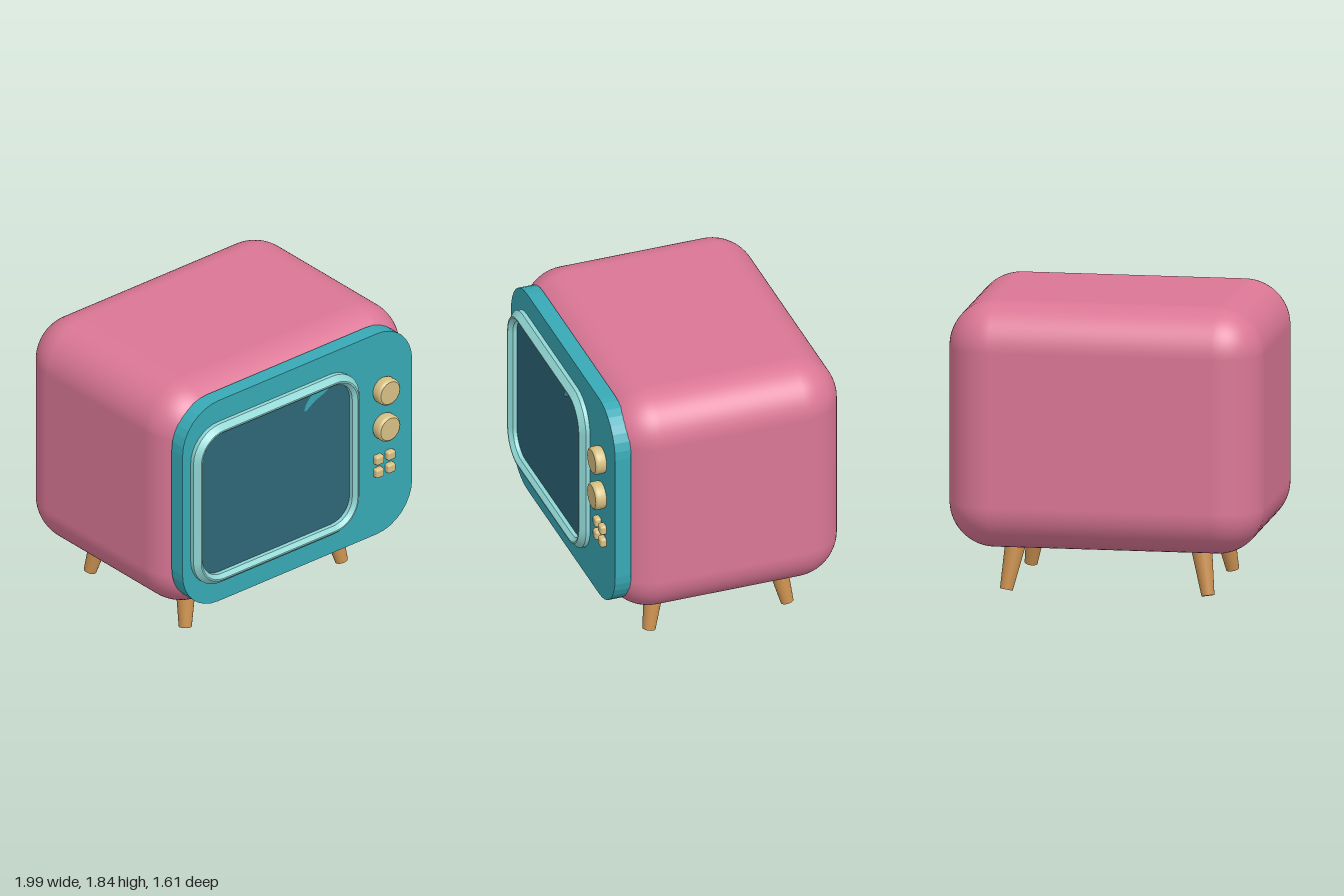
import * as THREE from 'three';
import { RoundedBoxGeometry } from 'three/addons/geometries/RoundedBoxGeometry.js';

const mat = (name, color) => {
  const m = new THREE.MeshStandardMaterial({ color });
  m.name = name;
  return m;
};

// Points of a rounded rectangle, anticlockwise, shrunk by an inset
function roundedRect(cx, cy, w, h, r, inset = 0, steps = 8) {
  const pts = [];
  const corners = [[1, 1], [-1, 1], [-1, -1], [1, -1]];
  corners.forEach(([sx, sy], q) => {
    for (let i = 0; i <= steps; i++) {
      const a = (q + i / steps) * Math.PI / 2;
      pts.push(new THREE.Vector2(
        cx + sx * (w / 2 - r) + (r - inset) * Math.cos(a),
        cy + sy * (h / 2 - r) + (r - inset) * Math.sin(a)));
    }
  });
  return pts;
}

// Ring swept round a rounded rectangle; profile is [inset, z] from outside to inside
function frameGeometry(cx, cy, w, h, r, profile) {
  const pos = [], idx = [];
  for (let b = 0; b < profile.length - 1; b++) {
    const start = pos.length / 3;
    let n = 0;
    for (const [inset, z] of [profile[b], profile[b + 1]]) {
      const ring = roundedRect(cx, cy, w, h, r, inset);
      n = ring.length;
      ring.forEach(p => pos.push(p.x, p.y, z));
    }
    for (let i = 0; i < n; i++) {
      const a = start + i, c = start + (i + 1) % n;
      idx.push(a, c, a + n, c, c + n, a + n);
    }
  }
  const g = new THREE.BufferGeometry();
  g.setAttribute('position', new THREE.Float32BufferAttribute(pos, 3));
  g.setIndex(idx);
  g.computeVertexNormals();
  return g;
}

export function createModel() {
  const group = new THREE.Group();
  const pink = mat('pink shell', 0xdb7796);
  const teal = mat('teal panel', 0x38a9b5);
  const aqua = mat('pale aqua trim', 0x8fd6d4);
  const glass = mat('dark glass', 0x2e6677);
  const gold = mat('pale gold', 0xd6c084);
  const wood = mat('warm wood', 0xcb9150);

  const add = (name, geometry, material, x = 0, y = 0, z = 0) => {
    const mesh = new THREE.Mesh(geometry, material);
    mesh.name = name;
    mesh.position.set(x, y, z);
    group.add(mesh);
    return mesh;
  };

  // Cabinet
  add('cabinet', new RoundedBoxGeometry(1.985, 1.56, 1.527, 8, 0.29), pink, 0, 1.065, -0.0385);

  // Front panel
  add('frontPanel', new THREE.ExtrudeGeometry(
    new THREE.Shape(roundedRect(-0.004, 1.065, 1.872, 1.44, 0.29)),
    { depth: 0.105, bevelEnabled: false }), teal, 0, 0, 0.63);

  // Screen with its raised trim
  const opening = [-0.197, 1.065, 1.355, 1.14, 0.22];
  add('screenTrim', frameGeometry(...opening, [
    [0, 0.73], [0, 0.762], [0.034, 0.797], [0.044, 0.797], [0.068, 0.772], [0.068, 0.735],
  ]), aqua);
  add('screen', new THREE.ShapeGeometry(
    new THREE.Shape(roundedRect(...opening, 0.06))), glass, 0, 0, 0.745);

  // Reflection on the glass
  const glint = [[0.04, 1.455], [0.06, 1.455], [0.13, 1.5], [0.21, 1.53], [0.265, 1.563],
    [0.11, 1.563], [0.055, 1.5]].map(p => new THREE.Vector2(...p));
  add('screenGlint', new THREE.ShapeGeometry(new THREE.Shape(glint)), teal, 0, 0, 0.748);

  // Knobs, with a softly rounded rim
  const knob = [[0.084, 0], [0.09, 0.012], [0.09, 0.052], [0.086, 0.064], [0.077, 0.07]]
    .map(p => new THREE.Vector2(...p));
  for (const y of [1.37, 1.11]) {
    add('knob', new THREE.LatheGeometry(knob, 32), gold, 0.695, y, 0.735).rotation.x = Math.PI / 2;
    add('knobFace', new THREE.CircleGeometry(0.077, 32), gold, 0.695, y, 0.805);
  }

  // Four small buttons
  for (const x of [0.647, 0.741])
    for (const y of [0.887, 0.795])
      add('button', new RoundedBoxGeometry(0.064, 0.064, 0.06, 2, 0.016), gold, x, y, 0.742);

  // Splayed, tapered legs
  const up = new THREE.Vector3(0, 1, 0);
  for (const side of [-1, 1])
    for (const [zTop, zFoot] of [[0.33, 0.402], [-0.438, -0.515]]) {
      const top = new THREE.Vector3(side * 0.57, 0.4, zTop);
      const foot = new THREE.Vector3(side * 0.637, 0.012, zFoot);
      const axis = top.clone().sub(foot);
      const mid = top.clone().add(foot).multiplyScalar(0.5);
      const leg = add(zTop > 0 ? 'frontLeg' : 'backLeg',
        new THREE.CylinderGeometry(0.075, 0.041, axis.length(), 20), wood, mid.x, mid.y, mid.z);
      leg.quaternion.setFromUnitVectors(up, axis.normalize());
    }

  return group;
}
